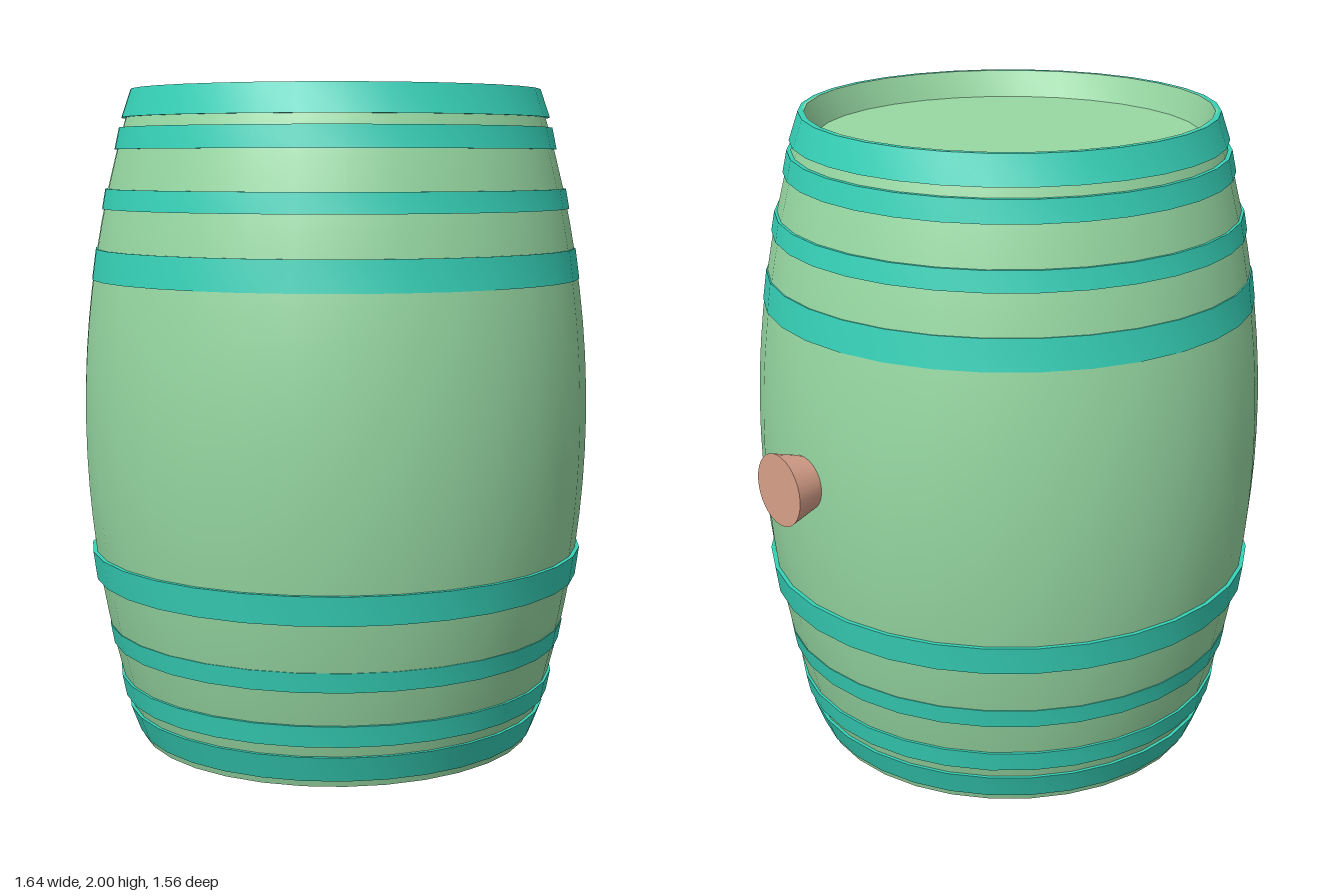
import * as THREE from 'three';
import { toCreasedNormals } from 'three/addons/utils/BufferGeometryUtils.js';

const SIDES = 32;

// Radius of the bulging staves at height y
const bulge = (y) => 0.78 - 0.165 * (y - 1) ** 2;

function lathe(name, points, material) {
  const profile = points.map(([r, y]) => new THREE.Vector2(r, y));
  const geometry = toCreasedNormals(new THREE.LatheGeometry(profile, SIDES), 0.5);
  const mesh = new THREE.Mesh(geometry, material);
  mesh.name = name;
  return mesh;
}

export function createModel() {
  const model = new THREE.Group();
  model.name = 'barrel';
  const wood = new THREE.MeshStandardMaterial({ color: 0x97d9a3 });
  const metal = new THREE.MeshStandardMaterial({ color: 0x36d1b8 });
  const cork = new THREE.MeshStandardMaterial({ color: 0xdba38c });

  const cask = new THREE.Group();
  cask.name = 'cask';
  cask.position.x = -0.042;
  model.add(cask);

  // Staves with a recessed head at each end
  const staves = [];
  for (let i = 0; i <= 20; i++) staves.push([bulge(i / 10), i / 10]);
  cask.add(lathe('body', [
    [0, 0.08], [0.578, 0.08], [0.608, 0],
    ...staves,
    [0.608, 2], [0.578, 1.92], [0, 1.92],
  ], wood));

  // Hoops: bottom height, top height, bottom radius, top radius
  const hoops = [
    [0.02, 0.10, 0.627, 0.657],
    [0.135, 0.20, 0.67, 0.683],
    [0.305, 0.365, 0.705, 0.716],
    [0.51, 0.597, 0.754, 0.766],
    [1.43, 1.522, 0.752, 0.739],
    [1.642, 1.702, 0.718, 0.707],
    [1.82, 1.885, 0.677, 0.663],
    [1.915, 2.0, 0.655, 0.626],
  ];
  hoops.forEach(([y0, y1, r0, r1], i) => {
    cask.add(lathe(`hoop${i + 1}`, [
      [bulge(y0) - 0.01, y0], [r0, y0], [r1, y1], [bulge(y1) - 0.005, y1],
    ], metal));
  });

  // Tapered bung in the side
  const bung = new THREE.Mesh(new THREE.CylinderGeometry(0.11, 0.075, 0.113, SIDES), cork);
  bung.name = 'bung';
  bung.rotation.z = -Math.PI / 2;
  bung.position.set(0.7665, 1, 0);
  model.add(bung);

  return model;
}
